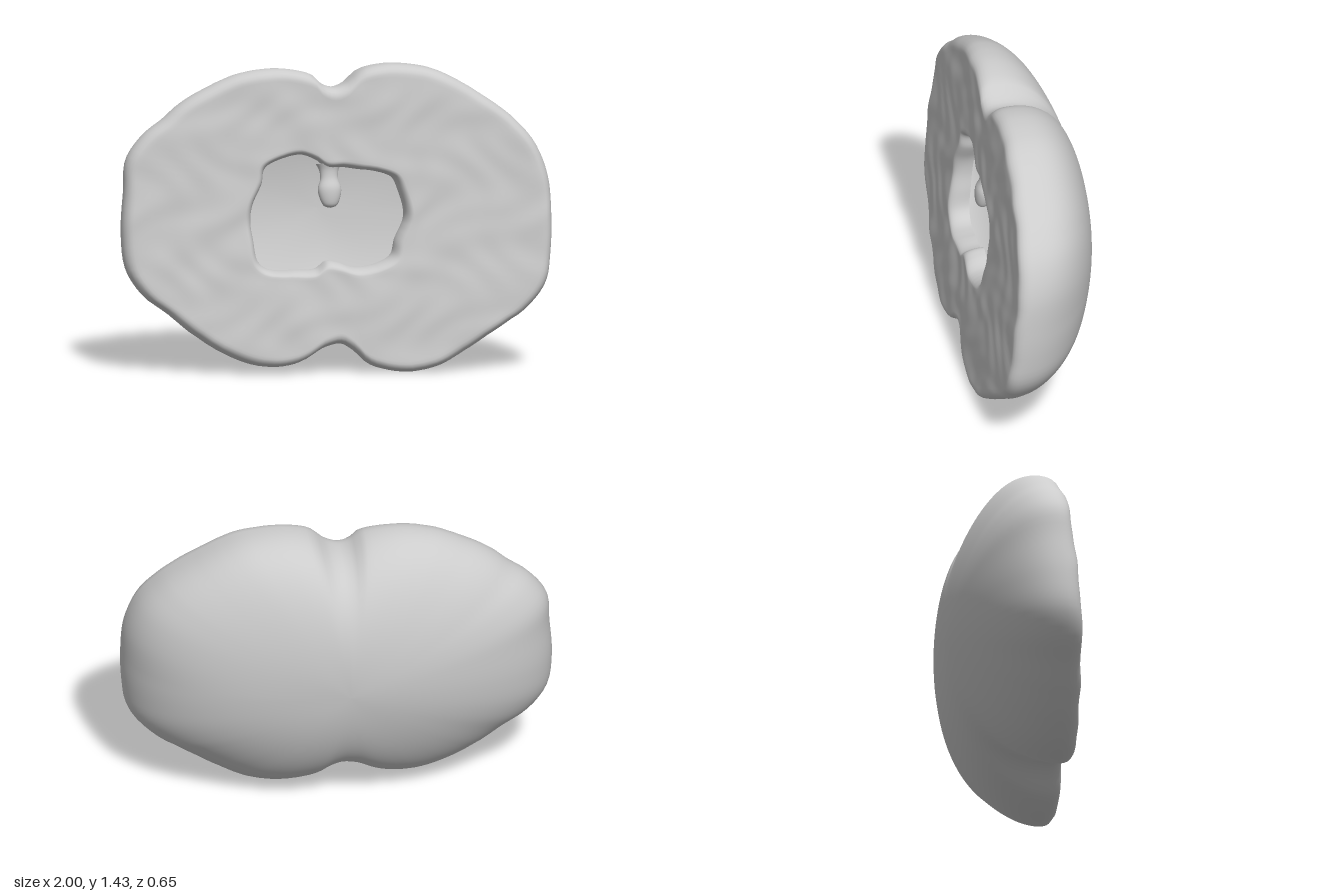
import * as THREE from 'three';

const CY = 0.7; // height of the axis the shell is swept around
const SEGMENTS = 180;

const OUTLINE = [
  [0.997, 0.72], [0.985, 0.9], [0.93, 1.05], [0.83, 1.17], [0.7, 1.27], [0.5, 1.385], [0.38, 1.417],
  [0.25, 1.425], [0.13, 1.4], [0.06, 1.34], [0, 1.32], [-0.06, 1.34], [-0.1, 1.38], [-0.2, 1.405],
  [-0.3, 1.41], [-0.45, 1.385], [-0.6, 1.32], [-0.72, 1.25], [-0.8, 1.18], [-0.88, 1.12], [-0.97, 1.0],
  [-0.985, 0.85], [-1, 0.65], [-0.98, 0.48], [-0.9, 0.36], [-0.8, 0.285], [-0.7, 0.2], [-0.55, 0.1],
  [-0.42, 0.045], [-0.3, 0.03], [-0.18, 0.055], [-0.08, 0.115], [0, 0.135], [0.06, 0.105], [0.13, 0.04],
  [0.22, 0.01], [0.32, 0], [0.45, 0.025], [0.58, 0.095], [0.75, 0.205], [0.88, 0.295], [0.965, 0.41], [0.99, 0.55],
];
const OPENING = [
  [0.315, 0.72], [0.29, 0.84], [0.26, 0.9], [0.18, 0.93], [0.1, 0.94], [0.03, 0.95], [-0.04, 0.95],
  [-0.09, 0.985], [-0.16, 1.01], [-0.26, 0.99], [-0.33, 0.95], [-0.345, 0.88], [-0.39, 0.78], [-0.4, 0.7],
  [-0.39, 0.62], [-0.37, 0.52], [-0.32, 0.48], [-0.2, 0.475], [-0.1, 0.48], [-0.05, 0.515], [0, 0.51],
  [0.08, 0.485], [0.18, 0.5], [0.25, 0.54], [0.27, 0.61],
];

// Radius of a closed outline at each of the evenly spaced angles
function polarRadii(points) {
  const curve = new THREE.CatmullRomCurve3(points.map(([x, y]) => new THREE.Vector3(x, y - CY, 0)), true);
  const samples = curve.getPoints(1500).map((p) => ({ a: Math.atan2(p.y, p.x), r: Math.hypot(p.x, p.y) }));
  return Array.from({ length: SEGMENTS }, (_, j) => {
    const a = (j / SEGMENTS) * Math.PI * 2;
    let best = samples[0], gap = -2;
    for (const s of samples) {
      const c = Math.cos(s.a - a);
      if (c > gap) { gap = c; best = s; }
    }
    return best.r;
  });
}

// Tilted front plane
const frontZ = (x, y) => 0.19 + 0.11 * x - 0.1 * (y - CY);
// Gentle unevenness of the front, fuller in its lower middle
const lumps = (x, y) =>
  0.004 * Math.sin(9 * x + 3 * Math.sin(5 * y)) * Math.sin(10 * y + 2 * Math.sin(6 * x + 1)) +
  0.003 * Math.sin(21 * x + 2 * Math.sin(13 * y)) * Math.sin(17 * y + 2 * Math.sin(9 * x)) +
  0.015 * (1 - x * x) * (1 - THREE.MathUtils.smoothstep(y, 0.2, 0.9));

function shellGeometry() {
  const outer = polarRadii(OUTLINE);
  const hole = polarRadii(OPENING);
  const rings = []; // each ring maps a segment to [radius, depth behind the front plane]

  const angle = (j) => (j / SEGMENTS) * Math.PI * 2;
  // Dome radius: the notched outline fades to an oval towards the pole
  const domeRadius = (j, t) => {
    const c = Math.cos(angle(j)), s = Math.sin(angle(j));
    const oval = 1 / Math.sqrt(c * c + (s * s) / 0.5);
    return t * (oval + (outer[j] - oval) * t * t);
  };
  // Dome height: boxier on its left, sloping on its right, flattened at the upper left lobe
  const domeRise = (j, t) => {
    const c = Math.cos(angle(j)), s = Math.sin(angle(j));
    const lobe = c > 0 && s > 0 ? 2 * s * c : 0;
    const power = 2 + 0.6 * c + 0.4 * c * c - 0.6 * lobe;
    return Math.max(0, 1 - t ** power) ** (0.5 - 0.15 * lobe);
  };

  // Dome, pole to rim
  const STEPS = 44;
  for (let i = 0; i <= STEPS; i++) {
    const t = Math.sin((i / STEPS) * Math.PI / 2);
    rings.push((j) => [domeRadius(j, t), 0.06 + 0.44 * domeRise(j, t)]);
  }
  // Rounded rim
  for (let i = 1; i <= 5; i++) {
    const a = (i / 5) * Math.PI / 2;
    rings.push((j) => [outer[j] - 0.045 * (1 - Math.cos(a)), 0.06 * (1 - Math.sin(a))]);
  }
  // Front face, rim to opening
  for (let i = 1; i <= 30; i++) {
    const k = i / 30;
    rings.push((j) => [THREE.MathUtils.lerp(outer[j] - 0.045, hole[j] + 0.035, k), 0]);
  }
  // Lip curling into the opening and ending in a free edge
  for (let i = 1; i <= 8; i++) {
    const a = (i / 8) * Math.PI * 0.6;
    rings.push((j) => [hole[j] + 0.035 - 0.035 * Math.sin(a), 0.07 * (1 - Math.cos(a))]);
  }

  const positions = [], indices = [];
  rings.forEach((ring, i) => {
    for (let j = 0; j < SEGMENTS; j++) {
      const [r, depth] = ring(j);
      const x = r * Math.cos(angle(j)), y = CY + r * Math.sin(angle(j));
      const rough = Math.max(0, 1 - depth / 0.12);
      positions.push(x, y, frontZ(x, y) - depth + rough * lumps(x, y));
      if (i === rings.length - 1) continue;
      const a = i * SEGMENTS + j, c = i * SEGMENTS + ((j + 1) % SEGMENTS);
      indices.push(a, c, a + SEGMENTS, c, c + SEGMENTS, a + SEGMENTS);
    }
  });
  const geometry = new THREE.BufferGeometry();
  geometry.setAttribute('position', new THREE.Float32BufferAttribute(positions, 3));
  geometry.setIndex(indices);
  geometry.computeVertexNormals();
  return geometry;
}

export function createModel() {
  const model = new THREE.Group();
  model.name = 'hollowShell';
  const material = new THREE.MeshStandardMaterial({ color: 0xcccccc, side: THREE.DoubleSide });

  const shell = new THREE.Mesh(shellGeometry(), material);
  shell.name = 'shell';
  model.add(shell);

  // Small knob hanging from the top edge of the opening, leaning forward
  const profile = new THREE.SplineCurve(
    [[0, -0.205], [0.03, -0.195], [0.048, -0.16], [0.055, -0.115], [0.042, -0.07], [0.045, -0.03], [0.06, 0]]
      .map(([r, y]) => new THREE.Vector2(r, y)));
  const knob = new THREE.Mesh(new THREE.LatheGeometry(profile.getPoints(24), 32), material);
  knob.name = 'hangingKnob';
  knob.position.set(-0.03, 0.965, 0.095);
  knob.rotation.x = -0.2;
  knob.scale.z = 0.75;
  model.add(knob);

  return model;
}
